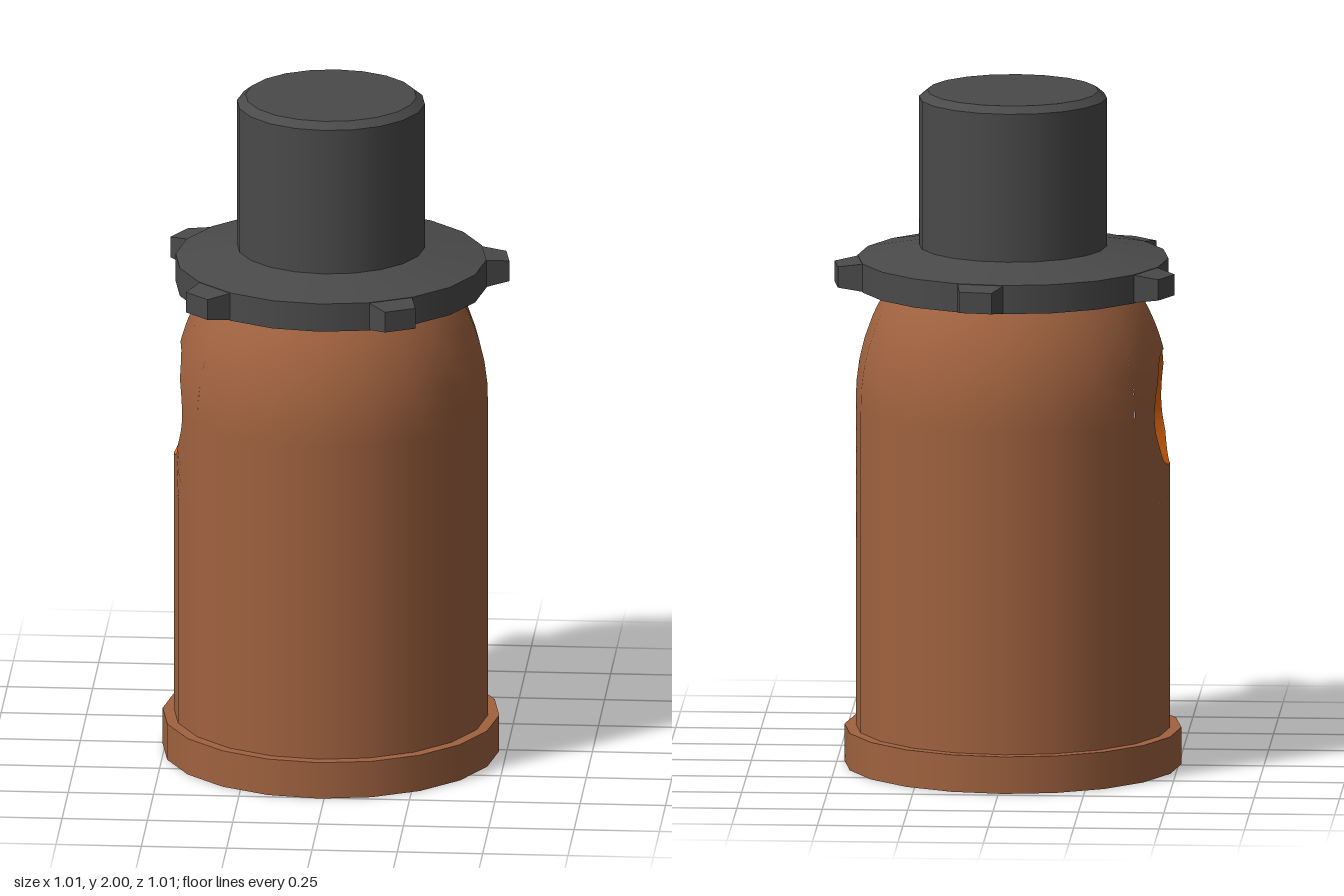
import * as THREE from 'three';

const SIDES = 20;
const STEP = (2 * Math.PI) / SIDES;
const HOLE_Y = 1.065, HOLE_R = 0.17;          // round recess on the -x side
const PATCH_H = 0.26, PATCH_A = 2 * STEP;     // half height / half angle of wall patch around it
const AROUND = 40;

// Body radius: straight wall, then an elliptical shoulder
const DOME_Y = 1.08, DOME_H = 0.545, BODY_R = 0.46;
const bodyRadius = (y) =>
  y < DOME_Y ? BODY_R : BODY_R * Math.sqrt(1 - ((y - DOME_Y) / DOME_H) ** 2);

// Point on the faceted body at an angle offset from -x
function wallPoint(a, y) {
  const inFacet = ((a % STEP) + STEP) % STEP - STEP / 2;
  const r = bodyRadius(y) * Math.cos(STEP / 2) / Math.cos(inFacet);
  return new THREE.Vector3(-r * Math.cos(a), y, r * Math.sin(a));
}

// Rim of the recess, where it meets the wall
function rimCoords(t) {
  const y = HOLE_Y + HOLE_R * Math.sin(t);
  return [Math.asin(HOLE_R * Math.cos(t) / bodyRadius(y)), y];
}

// Surface made of closed rings, ordered from the inside outward
function ringSurface(rings, point) {
  const pos = [], idx = [];
  for (let i = 0; i <= rings; i++)
    for (let j = 0; j < AROUND; j++)
      pos.push(...point(i / rings, (j / AROUND) * 2 * Math.PI).toArray());
  for (let i = 0; i < rings; i++)
    for (let j = 0; j < AROUND; j++) {
      const k = (j + 1) % AROUND;
      const a = i * AROUND + j, b = a + AROUND, c = (i + 1) * AROUND + k, d = i * AROUND + k;
      idx.push(a, b, c, a, c, d);
    }
  const g = new THREE.BufferGeometry();
  g.setAttribute('position', new THREE.Float32BufferAttribute(pos, 3));
  g.setIndex(idx);
  g.computeVertexNormals();
  return g;
}

// Smooth normals shared by every piece of the body wall
function smoothBody(g) {
  const p = g.attributes.position, n = g.attributes.normal, v = new THREE.Vector3();
  for (let i = 0; i < p.count; i++) {
    const y = p.getY(i), r = Math.hypot(p.getX(i), p.getZ(i));
    const slope = (bodyRadius(y + 0.005) - bodyRadius(y - 0.005)) / 0.01;
    v.set(p.getX(i) / r, -slope, p.getZ(i) / r).normalize();
    n.setXYZ(i, v.x, v.y, v.z);
  }
  return g;
}

function bodyLathe(y0, y1, rows, start = 0, segs = SIDES) {
  const pts = [];
  for (let i = 0; i <= rows; i++) {
    const y = y0 + (y1 - y0) * i / rows;
    pts.push(new THREE.Vector2(bodyRadius(y), y));
  }
  return smoothBody(new THREE.LatheGeometry(pts, segs, start, segs * STEP));
}

export function createModel() {
  const model = new THREE.Group();
  model.name = 'canister';
  const mat = (name, color) => {
    const m = new THREE.MeshStandardMaterial({ color });
    m.name = name;
    return m;
  };
  const brown = mat('copper brown', 0xa0623f);
  const dark = mat('dark grey', 0x4a4a4a);
  const orange = mat('orange', 0xea6a10);

  const core = new THREE.Group();
  core.name = 'core';
  core.position.set(-0.015, 0, 0.013);
  model.add(core);
  const add = (name, geo, material, parent = core) => {
    const m = new THREE.Mesh(geo, material);
    m.name = name;
    parent.add(m);
    return m;
  };
  const drum = (name, rTop, rBottom, y0, y1, material, open = false) => {
    const m = add(name, new THREE.CylinderGeometry(rTop, rBottom, y1 - y0, SIDES, 1, open), material);
    m.position.y = (y0 + y1) / 2;
    return m;
  };

  // Foot ring with a dark underside
  drum('foot', 0.493, 0.493, 0, 0.11, [brown, brown, dark]);

  // Body wall, split around the recess
  const low = HOLE_Y - PATCH_H, high = HOLE_Y + PATCH_H;
  add('bodyLower', bodyLathe(0.1, low, 1), brown);
  add('bodyMiddle', bodyLathe(low, high, 8, 1.5 * Math.PI + PATCH_A, SIDES - 4), brown);
  add('bodyShoulder', bodyLathe(high, 1.45, 5), brown);
  add('bodyAroundRecess', smoothBody(ringSurface(6, (s, t) => {
    const [a, y] = rimCoords(t);
    const m = Math.max(Math.abs(Math.cos(t)), Math.abs(Math.sin(t)));
    const outerA = Math.cos(t) / m * PATCH_A, outerY = HOLE_Y + Math.sin(t) / m * PATCH_H;
    return wallPoint(a + (outerA - a) * s, y + (outerY - y) * s);
  })), brown);

  // Shallow orange bowl set into the wall
  add('recessBowl', ringSurface(8, (s, t) => {
    const rim = wallPoint(...rimCoords(t));
    const s1 = Math.max(s, 0.001);
    return new THREE.Vector3(
      -0.36 + (rim.x + 0.36) * s1 * s1,
      HOLE_Y + (rim.y - HOLE_Y) * s1,
      rim.z * s1);
  }), orange);

  // Collar: flat disc with a sloping top
  drum('collarDisc', 0.455, 0.455, 1.42, 1.505, dark);
  drum('collarSlope', 0.275, 0.455, 1.505, 1.54, dark, true);

  // Five tapered teeth around the collar
  const tooth = new THREE.BoxGeometry(0.08, 0.085, 0.142);
  const p = tooth.attributes.position;
  for (let i = 0; i < p.count; i++)
    if (p.getX(i) > 0) p.setXYZ(i, p.getX(i), p.getY(i) * 0.73, p.getZ(i) * 0.68);
  tooth.translate(0.479, 1.4625, 0);
  tooth.computeVertexNormals();
  for (let k = 0; k < 5; k++)
    add('collarTooth', tooth, dark).rotation.y = STEP / 2 + k * 4 * STEP;

  // Neck with a bevelled top edge
  drum('neck', 0.275, 0.275, 1.5, 1.98, dark, true);
  drum('neckTop', 0.25, 0.275, 1.98, 2, dark);
  return model;
}
